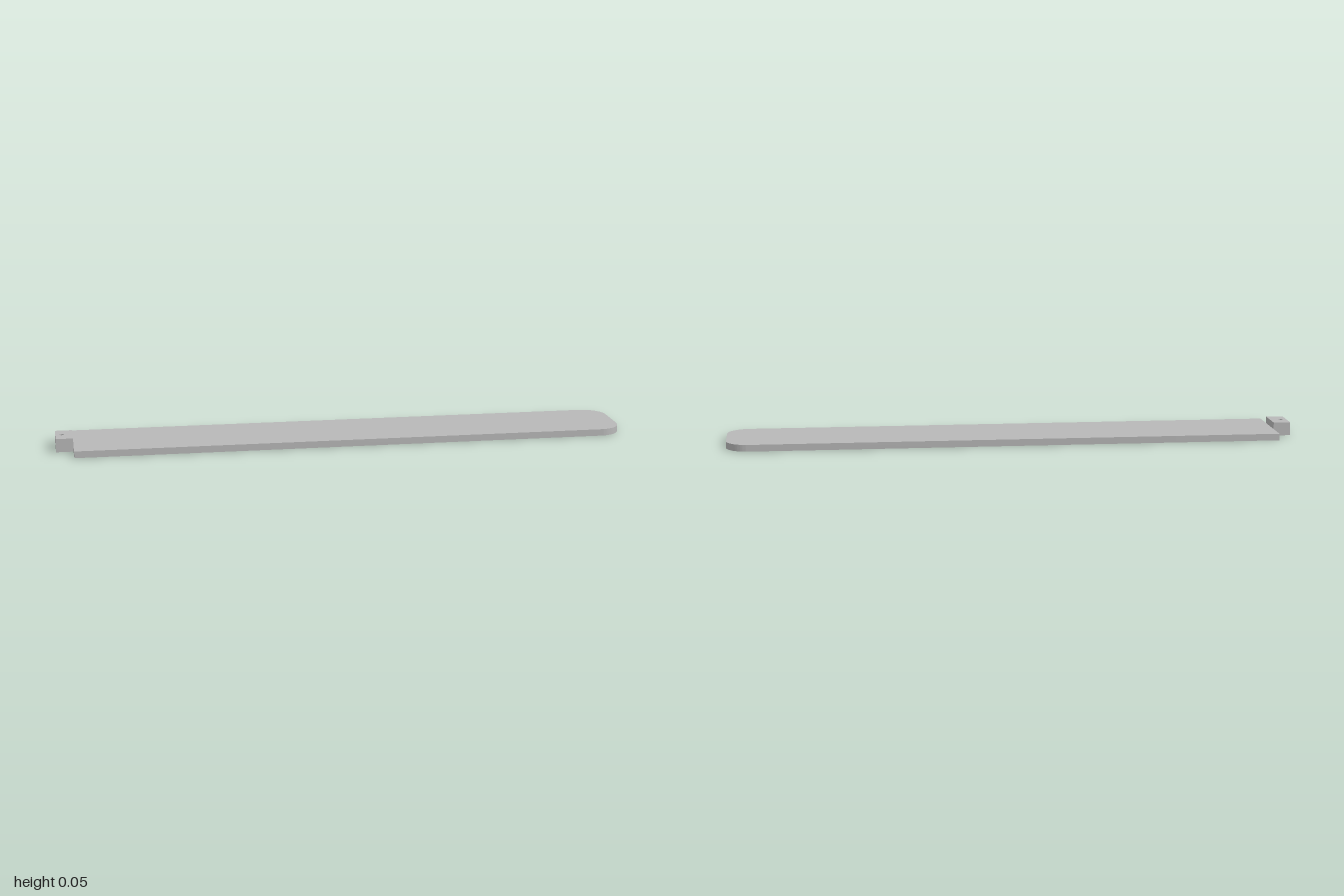
import * as THREE from 'three';
import { toCreasedNormals } from 'three/addons/utils/BufferGeometryUtils.js';

const grey = new THREE.MeshStandardMaterial({ color: 0xb8b8b8 });
grey.name = 'grey';

// Extrudes a plan outline (drawn in x and z) upwards from y = 0
function slab(name, shape, height) {
  const geometry = new THREE.ExtrudeGeometry(shape, {
    depth: height, bevelEnabled: false, curveSegments: 16,
  });
  geometry.rotateX(-Math.PI / 2);
  const mesh = new THREE.Mesh(toCreasedNormals(geometry, Math.PI / 6), grey);
  mesh.name = name;
  return mesh;
}

export function createModel() {
  const model = new THREE.Group();
  model.name = 'plank';

  // Long board, square at one end and with rounded corners at the other
  const joint = -0.94, halfWidth = 0.145, radius = 0.08;
  const board = new THREE.Shape();
  board.moveTo(joint, -halfWidth);
  board.lineTo(1 - radius, -halfWidth);
  board.absarc(1 - radius, -halfWidth + radius, radius, -Math.PI / 2, 0, false);
  board.lineTo(1, halfWidth - radius);
  board.absarc(1 - radius, halfWidth - radius, radius, 0, Math.PI / 2, false);
  board.lineTo(joint, halfWidth);
  board.closePath();
  model.add(slab('board', board, 0.0235));

  // Taller mounting block on the square end, with a pin hole right through
  const block = new THREE.Shape();
  block.moveTo(-1, -0.058);
  block.lineTo(joint, -0.058);
  block.lineTo(joint, 0.058);
  block.lineTo(-1, 0.058);
  block.closePath();
  block.holes.push(new THREE.Path().absarc(-0.978, 0, 0.008, 0, Math.PI * 2, true));
  model.add(slab('mountingBlock', block, 0.047));

  return model;
}
